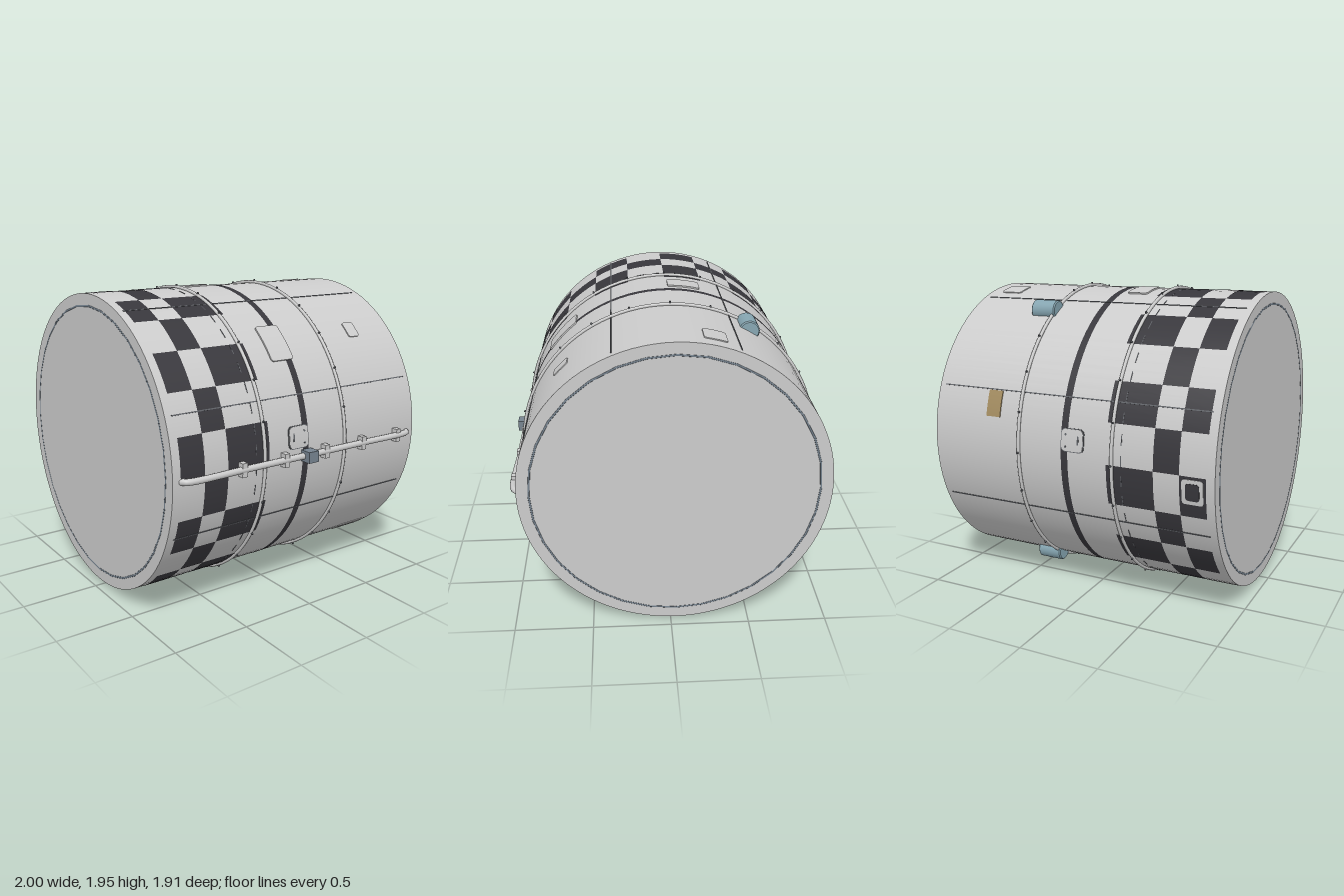
import * as THREE from 'three';
import { toCreasedNormals } from 'three/addons/utils/BufferGeometryUtils.js';

const R = 0.9475, LENGTH = 1.904;
const rad = THREE.MathUtils.degToRad;
const paint = (color, side = THREE.FrontSide) => new THREE.MeshStandardMaterial({ color, side });
const grey = paint(0xcccccc);
const dark = paint(0x38373c, THREE.DoubleSide);
const seamGrey = paint(0x606368);
const blue = paint(0x86a6b2);
const steel = paint(0x76838f);
const tan = paint(0xa38c60);

export function createModel() {
  const model = new THREE.Group();
  model.name = 'drumModule';
  // everything sits around the drum axis; angles run from the top towards +x
  const drum = new THREE.Group();
  drum.name = 'drum';
  drum.position.set(-0.027, 0.98, 0);
  model.add(drum);

  function add(name, geometry, material, parent = drum) {
    const mesh = new THREE.Mesh(geometry, material);
    mesh.name = name;
    parent.add(mesh);
    return mesh;
  }
  function group(name) {
    const g = new THREE.Group();
    g.name = name;
    drum.add(g);
    return g;
  }
  // thin painted area on the skin
  function patch(name, a0, a1, z0, z1, parent) {
    const seg = Math.max(4, Math.round((a1 - a0) / 3.75));
    const g = new THREE.CylinderGeometry(R + 0.0015, R + 0.0015, z1 - z0, seg, 1, true, rad(a0), rad(a1 - a0));
    g.rotateX(-Math.PI / 2).translate(0, 0, (z0 + z1) / 2);
    return add(name, g, dark, parent);
  }
  // raised plate with rounded corners, bent around the skin
  function plate(name, a0, a1, z0, z1, height, material = grey, corner = 0.018, parent = drum) {
    const w = rad(a1 - a0) * R, l = z1 - z0, mid = rad((a0 + a1) / 2);
    const c = Math.min(corner, w / 2, l / 2);
    const g = new THREE.BoxGeometry(2, height + 0.01, l, 24, 1, 1);
    const p = g.attributes.position;
    for (let i = 0; i < p.count; i++) {
      const u = Math.sin(p.getX(i) * Math.PI / 2) * w / 2;
      const d = Math.max(0, Math.abs(u) - (w / 2 - c));
      const cut = c - Math.sqrt(Math.max(0, c * c - d * d));
      const z = Math.sign(p.getZ(i)) * (l / 2 - cut) + (z0 + z1) / 2;
      const r = R + p.getY(i) + (height - 0.01) / 2;
      const a = mid + u / R;
      p.setXYZ(i, r * Math.sin(a), r * Math.cos(a), z);
    }
    return add(name, toCreasedNormals(g, 0.5), material, parent);
  }

  // body
  const body = new THREE.CylinderGeometry(R, R, LENGTH, 96);
  body.rotateX(Math.PI / 2);
  add('body', body, grey);

  // thin circle on each end cap
  for (const s of [1, -1]) {
    const ring = add('endCapRing', new THREE.TorusGeometry(0.873, 0.006, 6, 32), steel);
    ring.position.z = s * LENGTH / 2;
    ring.scale.z = 0.3;
    ring.rotation.z = Math.PI / 2;
  }

  // checkered band: three rows of 24 cells
  const band = group('checkerBand');
  [[0.28, 0.58], [0.58, 0.74], [0.74, 0.9]].forEach(([z0, z1], row) => {
    for (let i = 0; i < 12; i++) {
      const a = (2 * i + (row === 1 ? 0 : 1)) * 15;
      patch('checker', a, a + 15, z0, z1, band);
    }
  });
  patch('middleStripe', 0, 360, -0.0225, 0.0225);

  // lengthwise panel seams
  const seams = group('panelSeams');
  for (let i = 0; i < 8; i++) {
    const a = rad(22.5 + i * 45);
    const seam = add('seam', new THREE.BoxGeometry(0.007, 0.006, 1.82), seamGrey, seams);
    seam.position.set(R * Math.sin(a), R * Math.cos(a), 0);
    seam.rotation.z = -a;
  }
  // dashed seam around the band
  for (let i = 0; i < 48; i++) {
    plate('dashSeam', i * 7.5, i * 7.5 + 4, 0.374, 0.379, 0.002, seamGrey, 0.001, seams);
  }

  // hoops with studs
  for (const z of [0.318, -0.32]) {
    const hoop = group('hoop');
    hoop.position.z = z;
    add('hoopTube', new THREE.TorusGeometry(0.954, 0.011, 8, 96), grey, hoop);
    for (let i = 0; i < 24; i++) {
      const a = rad(i * 15);
      const stud = add('hoopStud', new THREE.CylinderGeometry(0.006, 0.008, 0.018, 8), seamGrey, hoop);
      stud.position.set(0.964 * Math.sin(a), 0.964 * Math.cos(a), 0);
      stud.rotation.z = -a;
    }
  }

  // handrail along the left side, ends bent into the skin
  const rail = group('handrail');
  const points = [[0.925, 0.9], [0.955, 0.885], [0.972, 0.85], [0.972, 0.45], [0.972, 0],
    [0.972, -0.45], [0.972, -0.85], [0.955, -0.885], [0.925, -0.9]];
  const path = new THREE.CatmullRomCurve3(points.map(([x, z]) => new THREE.Vector3(x, 0, z)), false, 'centripetal');
  add('railTube', new THREE.TubeGeometry(path, 80, 0.02, 12), grey, rail);
  for (const z of [0.49, 0.175, -0.145, -0.46, -0.775]) {
    add('railClamp', new THREE.BoxGeometry(0.045, 0.085, 0.036), grey, rail).position.set(0.966, 0, z);
  }
  add('railJoint', new THREE.BoxGeometry(0.075, 0.07, 0.076), steel, rail).position.set(0.9895, 0, 0);

  // pods half sunk into the skin, above and below
  for (const a of [-30, -150]) {
    const pod = new THREE.LatheGeometry(
      [[0, -0.085], [0.057, -0.085], [0.064, -0.078], [0.064, 0.078], [0.057, 0.085], [0, 0.085]]
        .map(([x, y]) => new THREE.Vector2(x, y)), 32);
    pod.rotateX(Math.PI / 2);
    add('pod', toCreasedNormals(pod, 0.5), blue)
      .position.set(R * Math.sin(rad(a)), R * Math.cos(rad(a)), -0.385);
  }

  // access plates
  plate('upperPlate', 38.6, 54.1, -0.035, 0.133, 0.009);
  plate('smallHatch', 41, 48, -0.655, -0.565, 0.006);
  plate('topHatch', -17.8, -9.4, -0.865, -0.715, 0.006);
  plate('topPlate', -13.4, -0.6, 0.063, 0.2, 0.009);
  plate('lowerHatch', 142, 149.5, -0.9, -0.68, 0.006);
  plate('bottomHatch', 171, 176, -0.175, -0.08, 0.006);
  plate('bottomFrame', 158, 166, -0.02, 0.145, 0.005, seamGrey);
  plate('bottomCover', 158.7, 165.3, -0.011, 0.136, 0.007);
  plate('tanPanel', -77.8, -67.9, -0.565, -0.465, 0.005, tan, 0.002);
  plate('windowFrame', -100, -91, 0.755, 0.885, 0.005, grey);
  plate('windowPane', -98.6, -92.4, 0.778, 0.862, 0.007, dark);

  // mirrored side doors with a slot and bolts
  for (const s of [1, -1]) {
    const door = group('sideDoor');
    const at = (name, lo, hi, z0, z1, h, m, c) =>
      plate(name, Math.min(s * lo, s * hi), Math.max(s * lo, s * hi), z0, z1, h, m, c, door);
    at('doorFrame', 78.6, 87.2, -0.021, 0.133, 0.005, seamGrey, 0.03);
    at('doorPanel', 78.9, 86.9, -0.016, 0.128, 0.008, grey, 0.028);
    at('doorSlot', 81.2, 84.4, 0.09, 0.1, 0.0095, seamGrey, 0.003);
    for (const a of [80.5, 85]) at('doorBolt', a, a + 0.8, 0.005, 0.018, 0.0095, seamGrey, 0.006);
  }
  return model;
}
